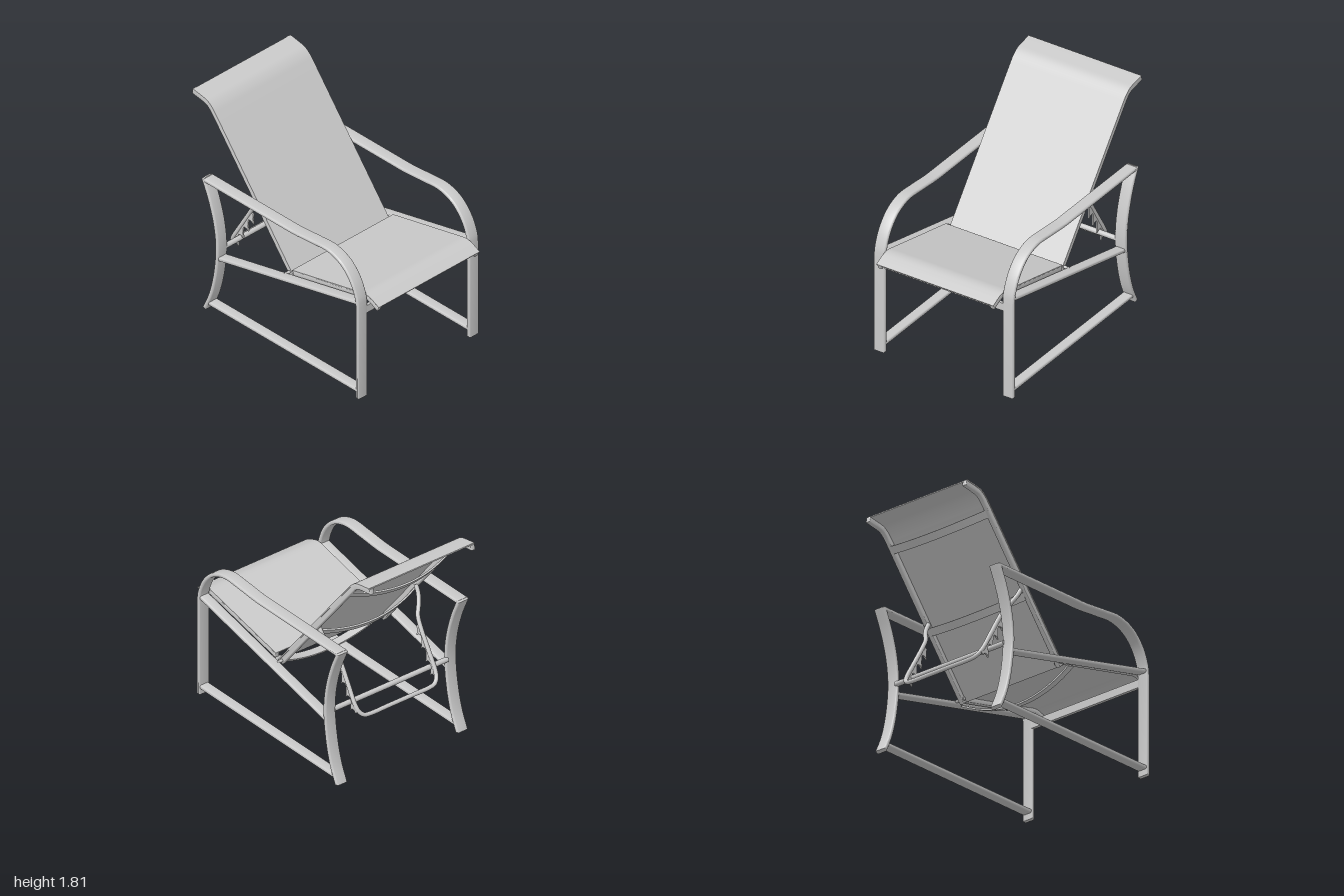
import * as THREE from 'three';
import { toCreasedNormals } from 'three/addons/utils/BufferGeometryUtils.js';

const V2 = (p) => new THREE.Vector2(p[0], p[1]);

// Smooth polyline through a few points
function smooth(pts, n = 32) {
  const c = new THREE.CatmullRomCurve3(pts.map((p) => new THREE.Vector3(p[0], p[1], 0)));
  return c.getPoints(n).map((p) => [p.x, p.y]);
}

// Polyline moved to its left by d, mitred at its corners
function offset(pts, d) {
  return pts.map((p, i) => {
    const a = V2(pts[Math.max(i - 1, 0)]), b = V2(pts[Math.min(i + 1, pts.length - 1)]), m = V2(p);
    const t1 = m.clone().sub(a).normalize(), t2 = b.clone().sub(m).normalize();
    const t = t1.clone().add(t2).normalize();
    const k = d / Math.max(0.5, t.dot(i ? t1 : t2));
    return [p[0] - t.y * k, p[1] + t.x * k];
  });
}

function extrude(outline, width, bevel) {
  const g = new THREE.ExtrudeGeometry(new THREE.Shape(outline.map(V2)), {
    depth: width - 2 * bevel, bevelEnabled: bevel > 0, bevelThickness: bevel,
    bevelSize: bevel, bevelOffset: -bevel, bevelSegments: 3,
  });
  g.translate(0, 0, -width / 2 + bevel);
  return toCreasedNormals(g, 0.6);
}

// Flat bar following a path, thick in the path's plane and wide across it
function ribbon(path, width, thick, bevel = 0) {
  const outline = [...offset(path, thick / 2), ...offset(path, -thick / 2).reverse()];
  return extrude(outline, width, bevel);
}

// Paths given as [z, y] become bars in the side plane
const flip = (pts) => pts.map(([z, y]) => [-z, y]);
const sideBar = (path, ...size) => ribbon(flip(path), ...size).rotateY(Math.PI / 2);
// Thin cloth lying on the upper or front side of tubes that follow a path
const sling = (path, lift, width) => sideBar(flip(offset(flip(path), lift)), width, 0.01);

export function createModel() {
  const model = new THREE.Group();
  const grey = new THREE.MeshStandardMaterial({ color: 0xcacaca });
  grey.name = 'light grey';

  function add(name, geometry, x = 0, y = 0, z = 0) {
    const m = new THREE.Mesh(geometry, grey);
    m.name = name;
    m.position.set(x, y, z);
    model.add(m);
    return m;
  }
  const pair = (name, geometry, x) => [1, -1].forEach((s) => add(name, geometry, s * x));

  // Side frames: front leg running into the armrest, curved rear leg, two rails
  const arm = [[0.875, 0], ...smooth([[0.875, 0.82], [0.866, 0.89], [0.81, 1.02], [0.71, 1.125],
    [0.57, 1.178], [0.4, 1.172], [0.2, 1.156], [0.05, 1.155]], 40), [-0.76, 1.155]];
  const rearLeg = smooth([[-0.762, 1.168], [-0.69, 1.0], [-0.633, 0.8], [-0.612, 0.6],
    [-0.637, 0.35], [-0.687, 0.15], [-0.75, 0.005]]);
  pair('armrestAndFrontLeg', sideBar(arm, 0.1, 0.032, 0.013), 0.573);
  pair('rearLeg', sideBar(rearLeg, 0.1, 0.032, 0.013), 0.573);
  pair('bottomRail', sideBar([[0.87, 0.065], [-0.715, 0.065]], 0.085, 0.032, 0.013), 0.573);
  pair('seatRail', sideBar([[0.87, 0.852], [-0.61, 0.512]], 0.085, 0.032, 0.013), 0.573);

  // Cross members between the side frames
  add('frontCrossbar', new THREE.BoxGeometry(1.06, 0.065, 0.025), 0, 0.768, 0.873);
  add('rearCrossbar', new THREE.CylinderGeometry(0.021, 0.021, 1.08, 20).rotateZ(Math.PI / 2), 0, 0.585, -0.62);
  pair('pivotPin', new THREE.CylinderGeometry(0.012, 0.012, 0.1, 16).rotateZ(Math.PI / 2)
    .translate(0, 0.667, 0.035), 0.5);

  // Seat: two side tubes with a sling over them
  const seat = [[0.992, 0.812], ...smooth([[0.93, 0.842], [0.885, 0.857], [0.845, 0.858],
    [0.79, 0.846]], 12), [0.09, 0.688]];
  pair('seatTube', sideBar(seat, 0.04, 0.04, 0.008), 0.5);
  add('seatSling', sling(seat, 0.023, 1.04));

  // Backrest: two side tubes bent over at the top, with a sling on their front
  const back = [[0.055, 0.642], ...smooth([[-0.7, 1.597], [-0.755, 1.666], [-0.8, 1.718],
    [-0.845, 1.75], [-0.9, 1.763]], 20), [-0.998, 1.778]];
  pair('backTube', sideBar(back, 0.04, 0.044, 0.008), 0.48);
  const backCover = back.map(([z, y]) => [Math.max(z, -0.99), y]);
  add('backSling', sling(backCover, 0.023, 1.005));

  // Bowed braces below the seat and behind the backrest
  function brace(name, halfSpan, sag, y, z, tilt) {
    const path = [];
    for (let i = 0; i <= 28; i++) {
      const u = i / 14 - 1;
      path.push([u * halfSpan, -sag * (1 - u * u)]);
    }
    add(name, ribbon(path, 0.062, 0.014), 0, y, z).rotation.x = tilt;
  }
  brace('seatBrace', 0.53, 0.14, 0.657, 0.118, -0.225);
  brace('upperBackBrace', 0.47, 0.1, 1.618, -0.736, 0.9);
  brace('lowerBackBrace', 0.47, 0.1, 1.09, -0.322, 0.9);

  // Swinging support bail behind the backrest: s runs down its slope
  const slope = (s, p = 0) => [-0.345 - 0.504 * s + 0.864 * p, 1.15 - 0.864 * s - 0.504 * p];
  const bailPoint = (x, s) => {
    const [z, y] = slope(s);
    return new THREE.Vector3(x, y, z);
  };
  const half = [[0.46, 0.01], [0.455, 0.08], [0.43, 0.15], [0.39, 0.23], [0.38, 0.32],
    [0.38, 0.5], [0.38, 0.66], [0.367, 0.715], [0.335, 0.75], [0.28, 0.76], [0.1, 0.76]];
  const bail = new THREE.CatmullRomCurve3([
    ...half.map(([x, s]) => bailPoint(x, s)),
    ...half.map(([x, s]) => bailPoint(-x, s)).reverse(),
  ]);
  add('supportBail', new THREE.TubeGeometry(bail, 120, 0.017, 12));

  // Hooked plates on the bail that catch the rear crossbar
  const teeth = [[0.3, 0], [0.3, 0.035]];
  for (let i = 0; i < 4; i++) {
    const s = 0.3 + i * 0.105;
    teeth.push([s + 0.035, 0.05], [s + 0.075, 0.078], [s + 0.068, 0.05], [s + 0.08, 0.028], [s + 0.1, 0.03]);
  }
  teeth.push([0.72, 0]);
  const plate = extrude(flip(teeth.map(([s, p]) => slope(s, p))), 0.014, 0).rotateY(Math.PI / 2);
  pair('notchedPlate', plate, 0.38);

  return model;
}
